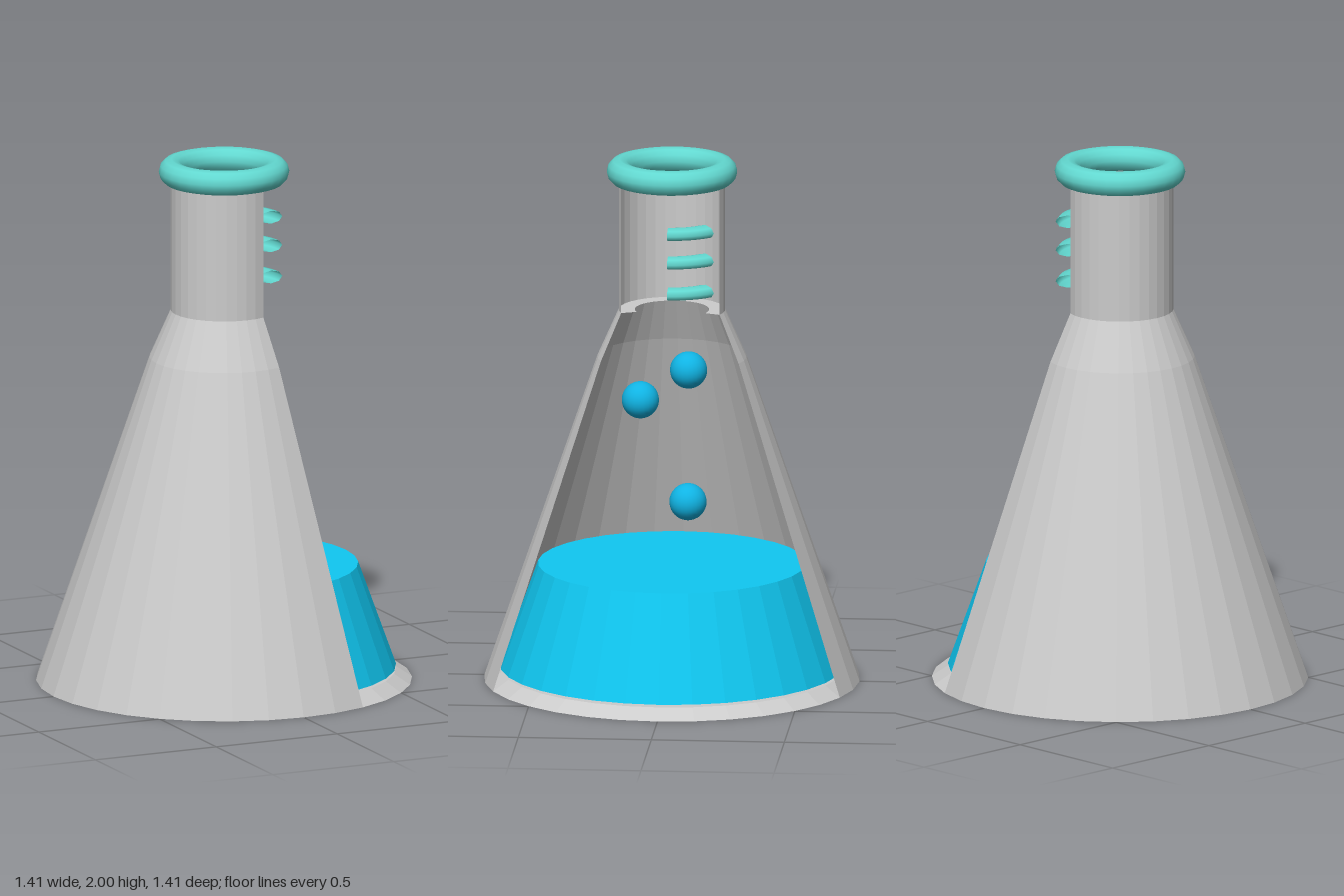
import * as THREE from 'three';

const rad = THREE.MathUtils.degToRad;

export function createModel() {
  const flask = new THREE.Group();
  flask.name = 'conicalFlask';

  const glass = new THREE.MeshStandardMaterial({ color: 0xcccccc, flatShading: true, side: THREE.DoubleSide });
  const liquidMat = new THREE.MeshStandardMaterial({ color: 0x10c8f2, flatShading: true });
  const bubbleMat = new THREE.MeshStandardMaterial({ color: 0x10b4e4 });
  const trimMat = new THREE.MeshStandardMaterial({ color: 0x62d8d0, side: THREE.DoubleSide });

  function add(name, geometry, material, x = 0, y = 0, z = 0) {
    const mesh = new THREE.Mesh(geometry, material);
    mesh.name = name;
    mesh.position.set(x, y, z);
    flask.add(mesh);
    return mesh;
  }

  // Walls sweep 225 degrees, leaving a cutaway window toward +x
  const cutawayLathe = (points) => new THREE.LatheGeometry(
    points.map(([r, y]) => new THREE.Vector2(r, y)), 20, rad(157.5), rad(225));

  add('coneWall', cutawayLathe([[0.705, 0], [0.28, 1.24], [0.2, 1.42]]), glass);
  add('neckWall', cutawayLathe([[0.2, 1.42], [0.2, 1.95]]), glass);
  add('shoulderRing', cutawayLathe([[0.2, 1.42], [0.14, 1.42]]), glass);

  // Base plate with a bevelled edge
  add('base', new THREE.CylinderGeometry(0.645, 0.705, 0.04, 32), glass, 0, 0.02, 0);

  // Liquid body
  add('liquid', new THREE.CylinderGeometry(0.503, 0.645, 0.395, 32), liquidMat, 0, 0.2475, 0);

  // Rising bubbles
  [[-0.03, 1.18, -0.06], [-0.08, 1.05, 0.125], [0, 0.68, -0.06]].forEach(([x, y, z], i) =>
    add(`bubble${i + 1}`, new THREE.SphereGeometry(0.07, 24, 16), bubbleMat, x, y, z));

  // Rolled rim at the mouth
  add('rim', new THREE.TorusGeometry(0.197, 0.048, 12, 32).rotateX(-Math.PI / 2), trimMat, 0, 1.952, 0);

  // Short flattened arcs as measuring marks
  [1.755, 1.645, 1.525].forEach((y, i) => {
    const arc = new THREE.TorusGeometry(0.195, 0.046, 8, 6, Math.PI / 4);
    arc.scale(1, 1, 0.54).rotateX(-Math.PI / 2);
    add(`measuringMark${i + 1}`, arc, trimMat, 0, y, 0);
  });

  return flask;
}
